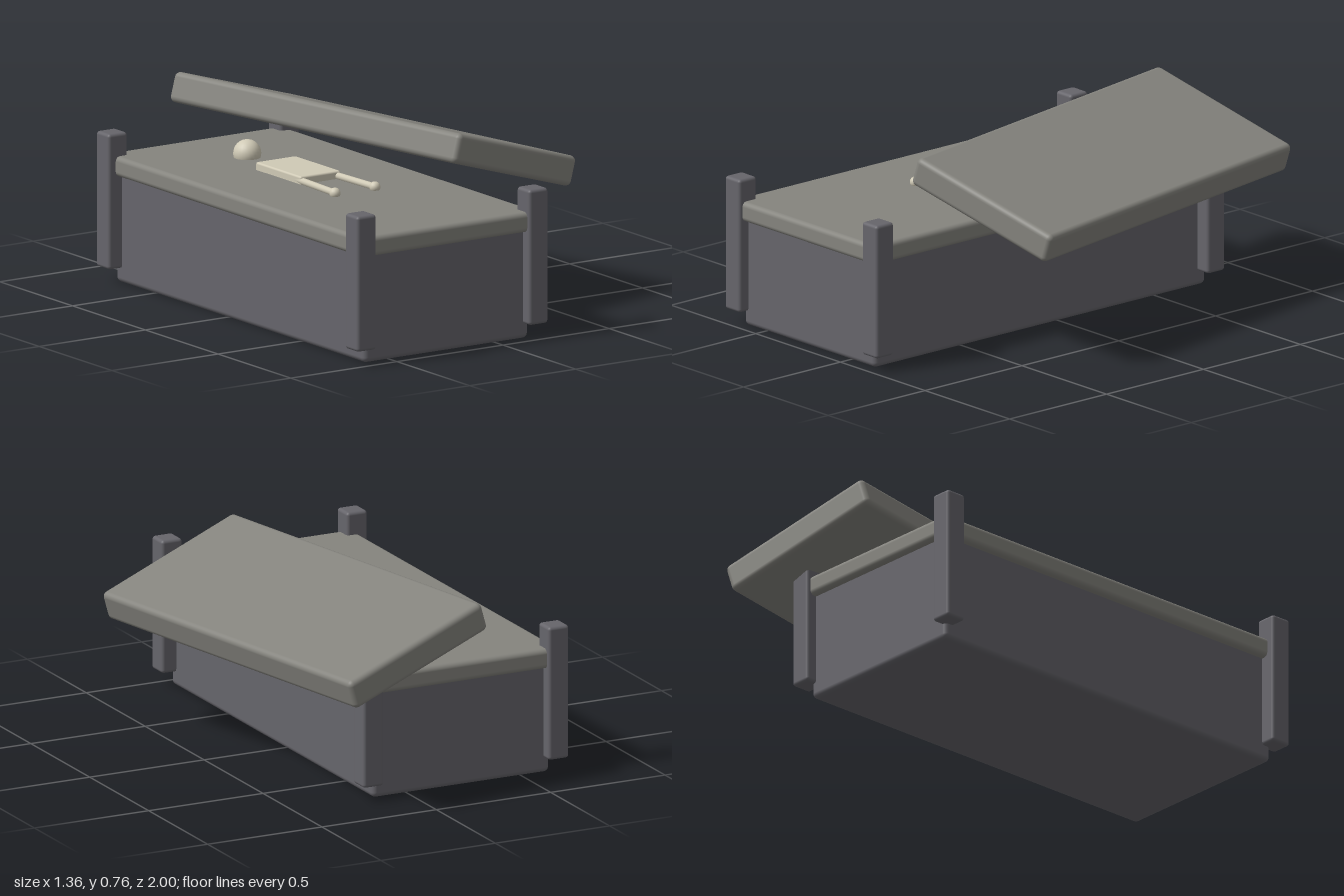
import * as THREE from 'three';
import { RoundedBoxGeometry } from 'three/addons/geometries/RoundedBoxGeometry.js';

export function createModel() {
  const tomb = new THREE.Group();
  tomb.name = 'openTomb';
  const darkStone = new THREE.MeshStandardMaterial({ color: 0x66656b });
  const paleStone = new THREE.MeshStandardMaterial({ color: 0x85847e });
  const bone = new THREE.MeshStandardMaterial({ color: 0xd0cab6 });

  function add(name, geometry, material, x, y, z, parent = tomb) {
    const mesh = new THREE.Mesh(geometry, material);
    mesh.name = name;
    mesh.position.set(x, y, z);
    parent.add(mesh);
    return mesh;
  }
  const block = (w, h, d, r) => new RoundedBoxGeometry(w, h, d, 3, r);

  // Chest with an overhanging ledge
  const cx = -0.235, cz = 0.1;
  add('chest', block(0.775, 0.47, 1.71, 0.02), darkStone, cx, 0.235, cz);
  add('ledge', block(0.835, 0.08, 1.77, 0.02), paleStone, cx, 0.469, cz);

  // Corner posts
  for (const sx of [-1, 1]) {
    for (const sz of [-1, 1]) {
      add('cornerPost', block(0.09, 0.54, 0.09, 0.013), darkStone, cx + sx * 0.405, 0.33, cz + sz * 0.855);
    }
  }

  // Lid, slid aside and tipped down towards +x
  const lid = add('lid', block(0.69, 0.12, 1.55, 0.022), paleStone, 0.195, 0.611, -0.178);
  lid.rotation.set(0, 0.2, -0.3);

  // Skeleton lying on the ledge
  const skeleton = new THREE.Group();
  skeleton.name = 'skeleton';
  tomb.add(skeleton);
  add('skull', new THREE.SphereGeometry(0.055, 24, 16), bone, cx, 0.525, -0.415, skeleton);
  add('ribcage', block(0.19, 0.04, 0.31, 0.008), bone, cx, 0.52, -0.065, skeleton);
  for (const s of [-1, 1]) {
    const hip = new THREE.Vector3(cx + s * 0.08, 0.52, 0.02);
    const foot = new THREE.Vector3(cx + s * 0.094, 0.52, 0.325);
    const path = new THREE.LineCurve3(hip, foot);
    add('legBone', new THREE.TubeGeometry(path, 1, 0.014, 12), bone, 0, 0, 0, skeleton);
    add('footBone', new THREE.SphereGeometry(0.022, 16, 12), bone, foot.x, foot.y, foot.z, skeleton);
  }
  return tomb;
}
